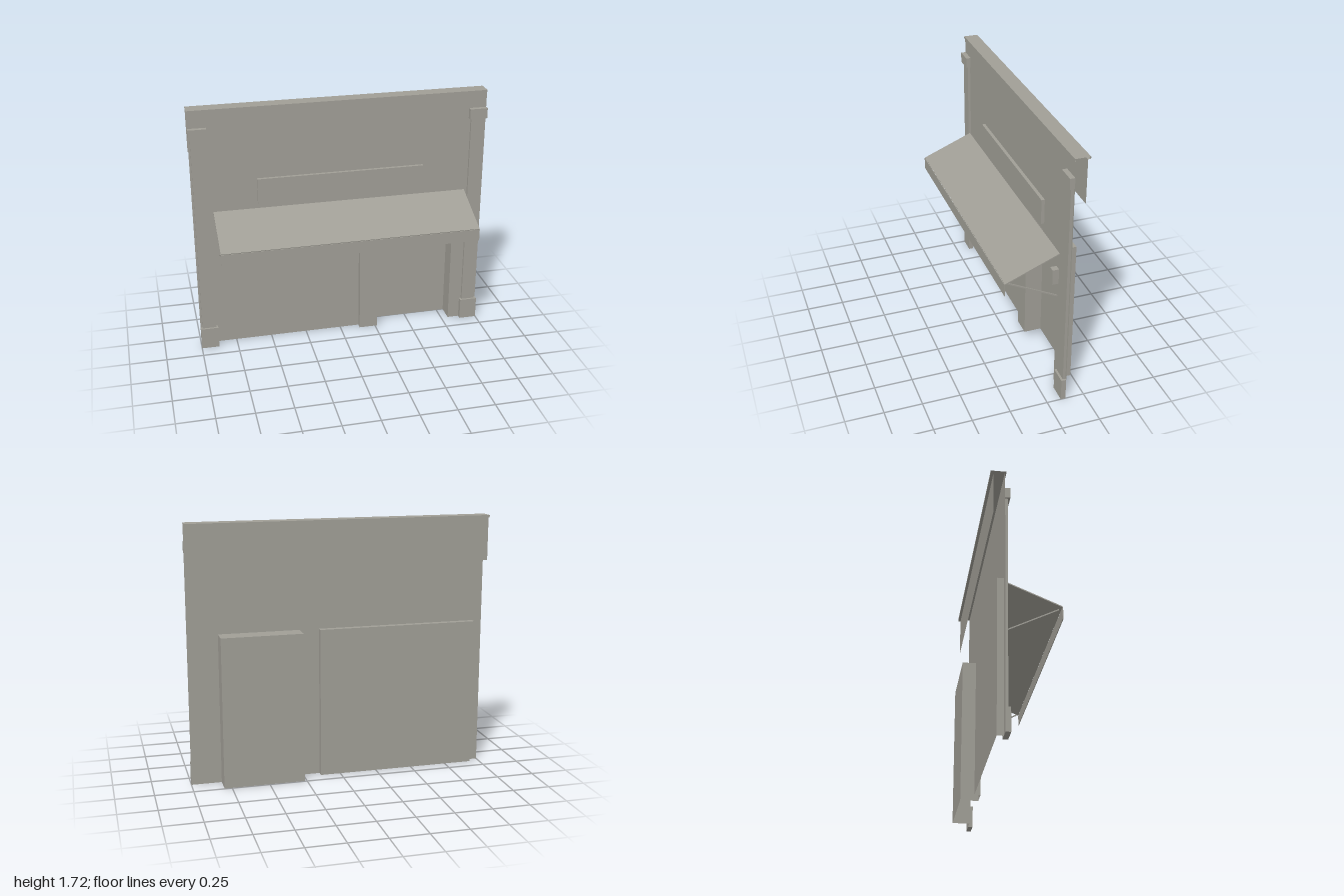
import * as THREE from 'three';

const WALL_Z = -0.125;

export function createModel() {
  const model = new THREE.Group();
  const stone = new THREE.MeshStandardMaterial({ color: 0xa09e96, side: THREE.DoubleSide });
  stone.name = 'warmGrey';

  const add = (name, geometry, parent = model) => {
    const mesh = new THREE.Mesh(geometry, stone);
    mesh.name = name;
    parent.add(mesh);
    return mesh;
  };
  const group = (name) => {
    const g = new THREE.Group();
    g.name = name;
    model.add(g);
    return g;
  };
  // Box given by its limits on each axis
  const block = (name, [x0, x1], [y0, y1], [z0, z1], parent) => {
    const mesh = add(name, new THREE.BoxGeometry(x1 - x0, y1 - y0, z1 - z0), parent);
    mesh.position.set((x0 + x1) / 2, (y0 + y1) / 2, (z0 + z1) / 2);
    return mesh;
  };
  // Upright sheet facing the front
  const sheet = (name, [x0, x1], [y0, y1], z, parent) => {
    const mesh = add(name, new THREE.PlaneGeometry(x1 - x0, y1 - y0), parent);
    mesh.position.set((x0 + x1) / 2, (y0 + y1) / 2, z);
    return mesh;
  };
  // Level sheet facing up
  const level = (name, [x0, x1], y, [z0, z1], parent) => {
    const mesh = add(name, new THREE.PlaneGeometry(x1 - x0, z1 - z0), parent);
    mesh.rotation.x = -Math.PI / 2;
    mesh.position.set((x0 + x1) / 2, y, (z0 + z1) / 2);
  };
  // Thin slat sloping from one (y, z) point to another
  const slat = (name, x, width, thickness, [y0, z0], [y1, z1], parent) => {
    const length = Math.hypot(y1 - y0, z1 - z0);
    const mesh = add(name, new THREE.BoxGeometry(width, thickness, length), parent);
    mesh.position.set(x, (y0 + y1) / 2, (z0 + z1) / 2);
    mesh.rotation.x = Math.atan2(y0 - y1, z1 - z0);
  };

  // Front wall, cut out for the window and the doorway
  const windowX = [-0.935, 0.135], doorX = [0.265, 0.8], openingTop = 1.0;
  const outline = [
    [-1, 0], [windowX[0], 0], [windowX[0], openingTop], [windowX[1], openingTop], [windowX[1], 0],
    [doorX[0], 0], [doorX[0], openingTop], [doorX[1], openingTop], [doorX[1], 0],
    [1, 0], [1, 1.72], [-1, 1.72],
  ].map(([x, y]) => new THREE.Vector2(x, y));
  add('frontWall', new THREE.ShapeGeometry(new THREE.Shape(outline))).position.z = WALL_Z;

  // Recesses behind the openings, open at the front and bottom
  const recess = (name, xs, backZ) => {
    const g = group(name);
    sheet('recessBack', xs, [0, openingTop], backZ, g);
    level('recessTop', xs, openingTop, [backZ, WALL_Z], g);
    for (const x of xs) {
      const side = add('recessSide', new THREE.PlaneGeometry(WALL_Z - backZ, openingTop), g);
      side.rotation.y = Math.PI / 2;
      side.position.set(x, openingTop / 2, (WALL_Z + backZ) / 2);
    }
  };
  recess('windowRecess', windowX, -0.165);
  recess('doorRecess', doorX, -0.244);

  // Cornice sheet with short lips, and the fascia hanging behind it
  const cornice = group('cornice');
  level('corniceTop', [-1, 1], 1.72, [-0.215, -0.118], cornice);
  sheet('frontLip', [-1, 1], [1.705, 1.72], -0.118, cornice);
  sheet('backLip', [-1, 1], [1.705, 1.72], -0.215, cornice);
  level('frontLipUnderside', [-1, 1], 1.705, [WALL_Z, -0.118], cornice);
  level('backLipUnderside', [-1, 1], 1.705, [-0.215, -0.197], cornice);
  sheet('rearFascia', [-1, 1], [1.42, 1.705], -0.197, cornice);

  // Sign board
  block('signBoard', [-0.567, 0.565], [1.055, 1.225], [WALL_Z, -0.103]);

  // Awning sheet and valance
  const awning = group('awning');
  slat('awningRoof', 0, 1.73, 0.007, [1.017, -0.108], [0.873, 0.24], awning);
  block('valance', [-0.865, 0.865], [0.79, 0.872], [0.24, 0.244], awning);

  for (const s of [-1, 1]) {
    // Limits mirrored to either side
    const span = (a, b) => (s > 0 ? [a, b] : [-b, -a]);
    const pilaster = group(s > 0 ? 'leftPilaster' : 'rightPilaster');
    block('base', span(0.88, 1), [0, 0.15], [WALL_Z, -0.093], pilaster);
    block('shaft', span(0.893, 0.987), [0.15, 1.53], [WALL_Z, -0.107], pilaster);
    block('capital', span(0.88, 1), [1.53, 1.6], [WALL_Z, -0.093], pilaster);

    // Awning arm and its wall bracket
    slat('awningArm', s * 0.84, 0.01, 0.008, [0.698, -0.108], [0.863, 0.222], awning);
    block('wallBracket', span(0.78, 0.822), [0.77, 0.875], [WALL_Z, -0.083], awning);
  }
  return model;
}
